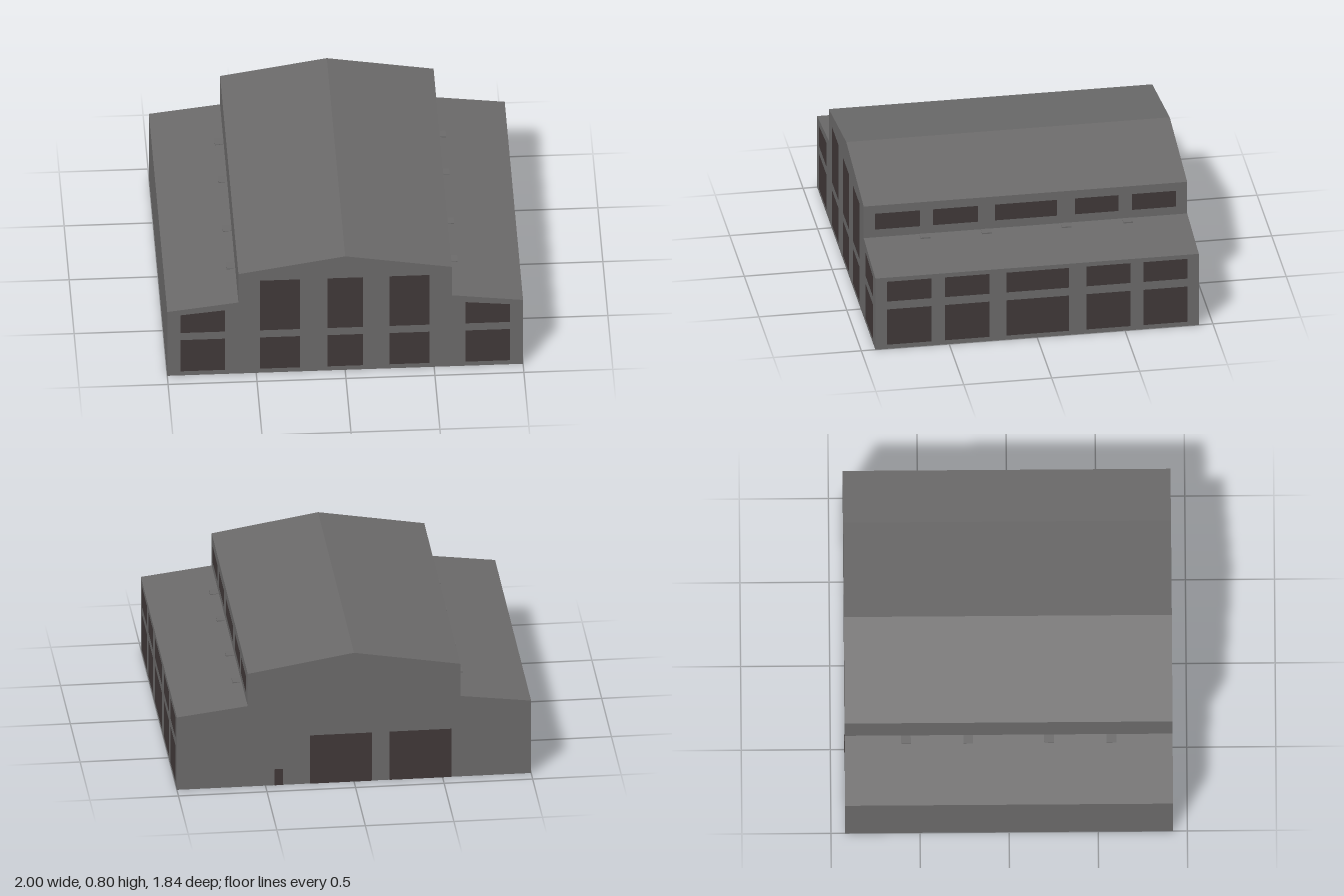
import * as THREE from 'three';

const HALF_DEPTH = 0.92;
const GAP = 0.002; // painted panels sit just proud of the walls

function polygon(points) {
  return new THREE.Shape(points.map(([x, y]) => new THREE.Vector2(x, y)));
}

function rect(x0, x1, y0, y1) {
  return polygon([[x0, y0], [x1, y0], [x1, y1], [x0, y1]]);
}

export function createModel() {
  const model = new THREE.Group();
  model.name = 'hall';

  const wallGrey = new THREE.MeshStandardMaterial({ color: 0x6b6a6a });
  wallGrey.name = 'wallGrey';
  const darkGlass = new THREE.MeshStandardMaterial({ color: 0x403838 });
  darkGlass.name = 'darkGlass';

  // Main body: gabled nave with two lower lean-to aisles
  const profile = polygon([
    [-1, 0], [1, 0], [1, 0.45], [0.6, 0.5], [0.6, 0.7],
    [0, 0.8], [-0.6, 0.7], [-0.6, 0.5], [-1, 0.45],
  ]);
  const bodyGeometry = new THREE.ExtrudeGeometry(profile, { depth: 2 * HALF_DEPTH, bevelEnabled: false });
  bodyGeometry.translate(0, 0, -HALF_DEPTH);
  const body = new THREE.Mesh(bodyGeometry, wallGrey);
  body.name = 'hallBody';
  model.add(body);

  // Flat panels, drawn facing +z and then turned onto their wall
  function addPanels(name, shapes, position, turn) {
    const panels = new THREE.Mesh(new THREE.ShapeGeometry(shapes), darkGlass);
    panels.name = name;
    panels.position.set(...position);
    panels.rotation.y = turn;
    model.add(panels);
  }

  // Front windows: three tall bays in the nave, one sloped bay per aisle
  const front = [];
  for (const [x0, x1] of [[-0.48, -0.255], [-0.1, 0.1], [0.25, 0.475]]) {
    front.push(rect(x0, x1, 0.03, 0.25), rect(x0, x1, 0.3, 0.65));
  }
  for (const s of [-1, 1]) {
    front.push(rect(s * 0.675, s * 0.925, 0.03, 0.25));
    front.push(polygon([[s * 0.675, 0.3], [s * 0.925, 0.3], [s * 0.925, 0.425], [s * 0.675, 0.45]]));
  }
  addPanels('frontWindows', front, [0, 0, HALF_DEPTH + GAP], 0);

  // Side windows: two rows on the aisle wall, one row in the clerestory
  const bays = [[-0.855, -0.6], [-0.525, -0.27], [-0.175, 0.18], [0.28, 0.53], [0.605, 0.855]];
  const aisle = bays.flatMap(([a, b]) => [rect(a, b, 0.027, 0.25), rect(a, b, 0.3, 0.425)]);
  addPanels('aisleWindows', aisle, [1 + GAP, 0, 0], Math.PI / 2);
  const clerestory = bays.map(([a, b]) => rect(a, b, 0.55, 0.65));
  addPanels('clerestoryWindows', clerestory, [0.6 + GAP, 0, 0], Math.PI / 2);

  // Back: two large gates and one small hatch
  const doors = [rect(-0.25, 0.1, 0, 0.3), rect(0.2, 0.55, 0, 0.3), rect(-0.45, -0.4, 0, 0.1)];
  addPanels('backDoors', doors, [0, 0, -HALF_DEPTH - GAP], Math.PI);

  // Column heads just breaking through the aisle roofs
  for (const s of [-1, 1]) {
    for (const z of [-0.577, -0.227, 0.227, 0.577]) {
      const head = new THREE.Mesh(new THREE.BoxGeometry(0.05, 0.04, 0.055), wallGrey);
      head.name = 'columnHead';
      head.position.set(s * 0.625, 0.481, z);
      model.add(head);
    }
  }

  return model;
}
